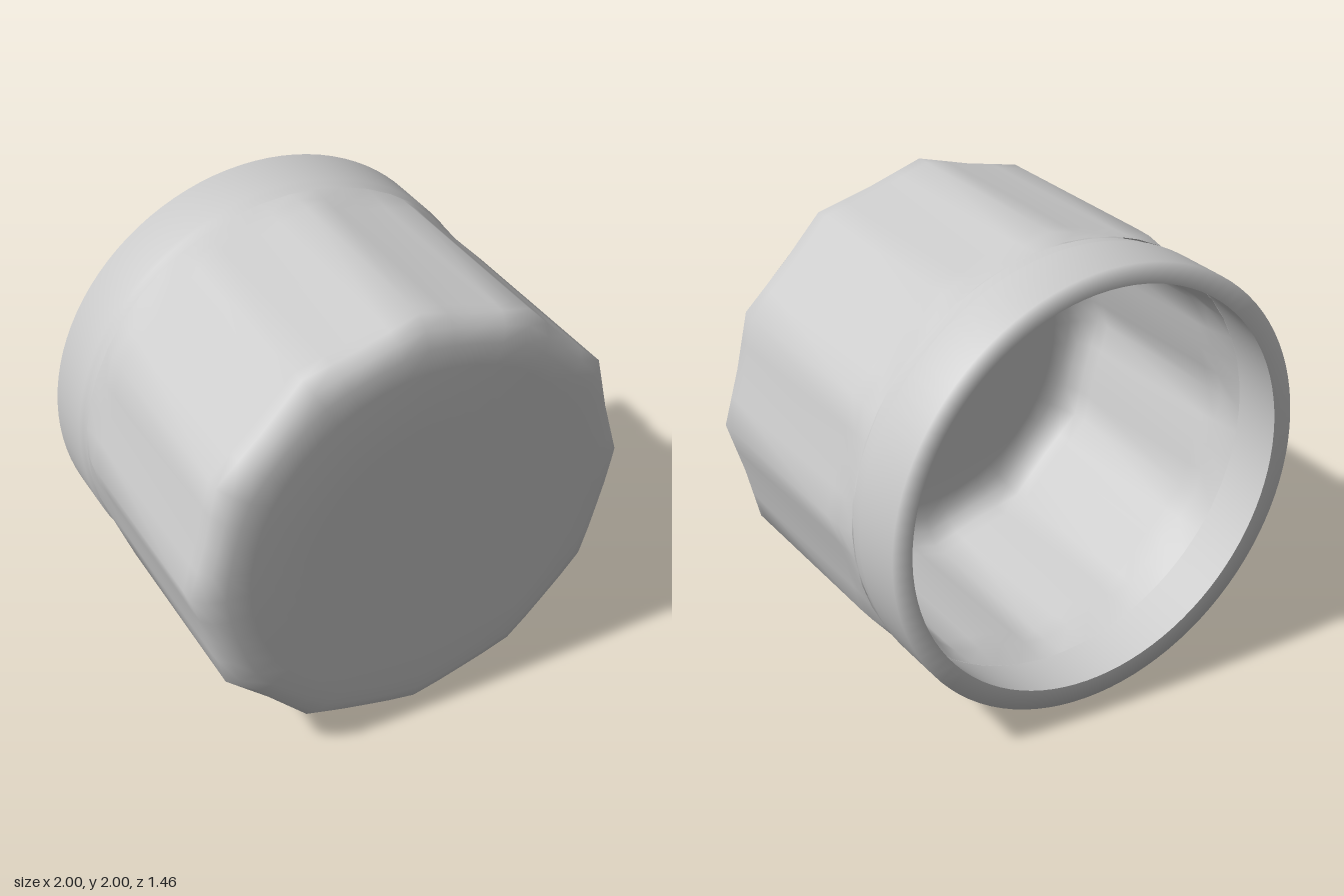
import * as THREE from 'three';

const material = new THREE.MeshStandardMaterial({ color: 0xcccccc, side: THREE.DoubleSide });

// Loft around the z axis. Each row is [z, ridge radius, valley radius];
// ridges sit every 30 degrees, and a missing valley radius means a plain circle.
function loft(name, rows, segments) {
  const positions = [];
  const index = [];
  for (const [z, ridge, valley = ridge] of rows) {
    for (let j = 0; j < segments; j++) {
      const angle = (j / segments) * Math.PI * 2;
      // sharp ridge, shallow hollow between ridges
      const r = ridge + (valley - ridge) * Math.abs(Math.sin(angle * 6));
      positions.push(r * Math.cos(angle), r * Math.sin(angle), z);
    }
  }
  for (let i = 0; i < rows.length - 1; i++) {
    for (let j = 0; j < segments; j++) {
      const a = i * segments + j;
      const b = i * segments + ((j + 1) % segments);
      const c = a + segments;
      const d = b + segments;
      // skip collapsed triangles at the centre of a disc
      if (rows[i][1] > 0) index.push(a, b, d);
      if (rows[i + 1][1] > 0) index.push(a, d, c);
    }
  }
  const geometry = new THREE.BufferGeometry();
  geometry.setAttribute('position', new THREE.Float32BufferAttribute(positions, 3));
  geometry.setIndex(index);
  geometry.computeVertexNormals();
  const mesh = new THREE.Mesh(geometry, material);
  mesh.name = name;
  return mesh;
}

export function createModel() {
  const cap = new THREE.Group();
  cap.name = 'flutedCap';

  // Fluted outer wall running into the rounded front face
  cap.add(loft('outerShell', [
    [-0.415, 0.982],
    [-0.33, 0.998, 0.966],
    [-0.25, 1.0, 0.961],
    [0.58, 1.0, 0.961],
    [0.64, 1.0, 0.958],
    [0.69, 0.95, 0.925],
    [0.718, 0.88, 0.868],
    [0.725, 0.78],
    [0.73, 0.5],
    [0.73, 0],
  ], 48));

  // Round collar: back rim, outer band and the shallow groove
  cap.add(loft('collar', [
    [-0.73, 0.9],
    [-0.73, 0.989],
    [-0.482, 0.989],
    [-0.472, 0.976],
    [-0.415, 0.976],
  ], 96));

  // Bore narrowing slightly towards the opening
  cap.add(loft('innerLip', [
    [-0.47, 0.93],
    [-0.73, 0.9],
  ], 96));

  // Fluted cavity following the outer wall
  cap.add(loft('cavity', [
    [0.66, 0],
    [0.66, 0.5],
    [0.655, 0.74],
    [0.645, 0.82, 0.805],
    [0.62, 0.88, 0.853],
    [0.57, 0.935, 0.895],
    [0.5, 0.94, 0.9],
    [-0.25, 0.94, 0.9],
    [-0.34, 0.938, 0.906],
    [-0.47, 0.93],
  ], 48));

  cap.position.y = 1;
  const model = new THREE.Group();
  model.add(cap);
  return model;
}
